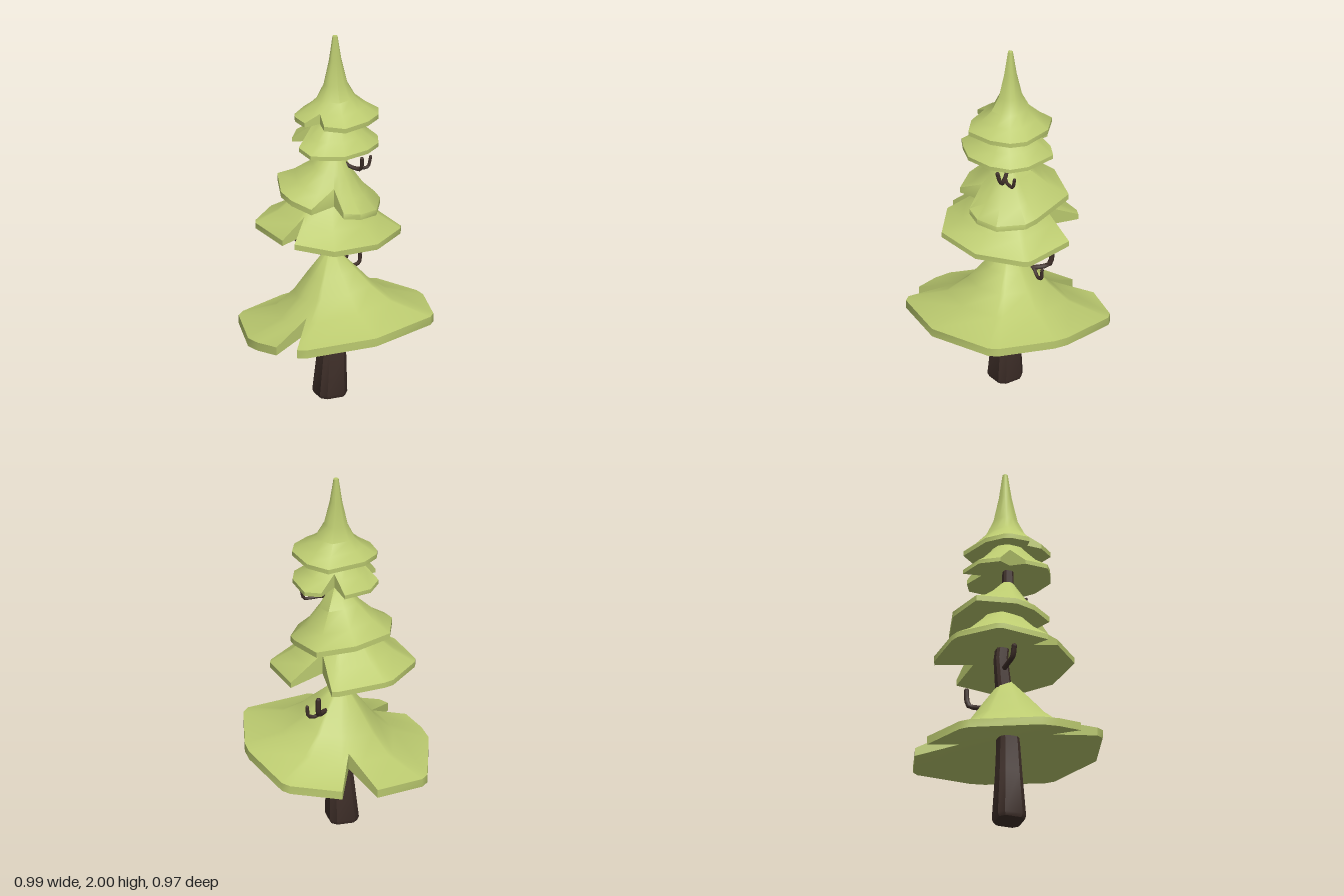
import * as THREE from 'three';
import { toCreasedNormals } from 'three/addons/utils/BufferGeometryUtils.js';

const foliage = new THREE.MeshStandardMaterial({ color: 0xbccb70 });
foliage.name = 'leaf green';
const bark = new THREE.MeshStandardMaterial({ color: 0x40302a });
bark.name = 'dark bark';

// Height fraction of a skirt profile at radius fraction f
function heightAt(profile, f) {
  for (let i = 1; i < profile.length; i++) {
    const [f0, h0] = profile[i - 1], [f1, h1] = profile[i];
    if (f <= f1) return h0 + (h1 - h0) * (f - f0) / (f1 - f0);
  }
  return 0;
}

// Solid skirt of needles with a shallow hollow below. Rim points run clockwise
// from above as [x, z]; a third number k marks the inner corner of a notch,
// at fraction k of the radius.
function skirt(name, { apex, rim, rimY, thick, hollow, profile }) {
  const [ax, ay, az] = apex;
  const underY = rimY(ax, az) - thick + hollow;
  const columns = rim.map(([x, z, k = 1]) => {
    const dx = (x - ax) / k, dz = (z - az) / k;
    const edgeY = rimY(ax + dx, az + dz);
    return profile.map(([ring]) => {
      const f = Math.min(ring, k);
      const px = ax + dx * f, pz = az + dz * f;
      return {
        top: new THREE.Vector3(px, edgeY + (ay - edgeY) * heightAt(profile, f), pz),
        low: new THREE.Vector3(px, underY + (edgeY - thick - underY) * f, pz),
      };
    });
  });
  const pos = [];
  const tri = (...pts) => pts.forEach(p => pos.push(p.x, p.y, p.z));
  const both = (a, b, c) => { tri(a.top, b.top, c.top); tri(a.low, c.low, b.low); };
  const last = profile.length - 1;
  columns.forEach((a, i) => {
    const b = columns[(i + 1) % columns.length];
    for (let j = 0; j < last; j++) {
      both(a[j], b[j + 1], a[j + 1]);
      if (j > 0) both(a[j], b[j], b[j + 1]);
    }
    tri(a[last].top, b[last].top, b[last].low);
    tri(a[last].top, b[last].low, a[last].low);
  });
  const geo = new THREE.BufferGeometry();
  geo.setAttribute('position', new THREE.Float32BufferAttribute(pos, 3));
  const mesh = new THREE.Mesh(toCreasedNormals(geo, 0.8), foliage);
  mesh.name = name;
  return mesh;
}

// Square trunk with cut corners, bent through stations [x, y, z, half width]
function trunk(stations) {
  const n = stations.length - 1;
  const geo = new THREE.CylinderGeometry(1, 1, 1, 8, n, false, Math.PI / 8);
  const p = geo.attributes.position;
  const squared = v => (Math.abs(v) < 0.01 ? 0 : Math.sign(v) * (Math.abs(v) > 0.6 ? 1 : 0.62));
  for (let i = 0; i < p.count; i++) {
    const [x, y, z, r] = stations[Math.round((p.getY(i) + 0.5) * n)];
    p.setXYZ(i, x + squared(p.getX(i)) * r, y, z + squared(p.getZ(i)) * r);
  }
  const mesh = new THREE.Mesh(toCreasedNormals(geo, 0.6), bark);
  mesh.name = 'trunk';
  return mesh;
}

// Bare twig along a curve, with a closed tip
function twig(points, radius) {
  const group = new THREE.Group();
  const path = new THREE.CatmullRomCurve3(points.map(p => new THREE.Vector3(...p)), false, 'catmullrom', 0.3);
  group.add(new THREE.Mesh(new THREE.TubeGeometry(path, 10, radius, 6), bark));
  const tip = new THREE.Mesh(new THREE.SphereGeometry(radius, 6, 4), bark);
  tip.position.copy(path.getPoint(1));
  tip.name = 'twigTip';
  group.add(tip);
  group.name = 'twig';
  return group;
}

export function createModel() {
  const tree = new THREE.Group();
  tree.name = 'pineTree';

  tree.add(trunk([
    [-0.022, 0, -0.015, 0.07], [-0.022, 0.02, -0.015, 0.078], [-0.01, 0.28, -0.013, 0.062],
    [0, 0.45, -0.012, 0.054], [-0.015, 0.78, -0.045, 0.037], [-0.022, 0.92, -0.06, 0.033],
    [0.01, 1.3, -0.01, 0.027], [0.012, 1.5, -0.01, 0.024],
  ]));

  const broad = [[0, 1], [0.06, 0.97], [0.25, 0.67], [0.4, 0.42], [0.6, 0.18], [1, 0]];
  const plain = [[0, 1], [0.12, 0.95], [0.4, 0.56], [0.7, 0.22], [1, 0]];
  const spire = [[0, 1], [0.06, 0.995], [0.15, 0.68], [0.28, 0.38], [0.45, 0.21], [0.7, 0.1], [1, 0]];

  tree.add(skirt('lowestBoughs', {
    apex: [-0.01, 0.81, -0.03], thick: 0.045, hollow: 0.1, profile: broad,
    rimY: (x, z) => 0.44 + 0.09 * x + 0.09 * z,
    rim: [[0.11, -0.485], [0.37, -0.405], [0.405, -0.37], [0.49, -0.05], [0.49, 0.03], [0.41, 0.335],
      [0.375, 0.375], [0.02, 0.48], [-0.34, 0.39], [-0.375, 0.35], [-0.23, 0.15, 0.56],
      [-0.44, 0.235], [-0.485, 0.1], [-0.495, 0], [-0.385, -0.36], [-0.345, -0.4],
      [-0.08, -0.485], [0.015, -0.27, 0.53]],
  }));
  tree.add(skirt('lowerMiddleBoughs', {
    apex: [-0.01, 1.25, -0.04], thick: 0.03, hollow: 0.08, profile: plain,
    rimY: (x, z) => 0.935 - 0.05 * x - 0.03 * z,
    rim: [[0.1, -0.385], [0.135, -0.37], [0.125, -0.16, 0.55], [0.305, -0.19], [0.34, 0.08], [0.325, 0.11],
      [0.12, 0.275], [-0.14, 0.305], [-0.3, 0.155], [-0.2, 0.06, 0.6], [-0.34, 0.09],
      [-0.375, -0.17], [-0.36, -0.205], [-0.2, -0.36], [-0.15, -0.375]],
  }));
  tree.add(skirt('upperMiddleBoughs', {
    apex: [0.005, 1.38, -0.01], thick: 0.03, hollow: 0.06, profile: plain,
    rimY: (x, z) => 1.113 - 0.13 * x - 0.14 * z,
    rim: [[-0.01, -0.32], [0.19, -0.27], [0.24, -0.03], [0.24, 0.04], [0.16, 0.17], [0.05, 0.215],
      [-0.04, 0.2], [-0.055, 0.11, 0.58], [-0.2, 0.145], [-0.265, 0.04], [-0.28, -0.06],
      [-0.21, -0.26]],
  }));
  tree.add(skirt('upperBoughs', {
    apex: [0.01, 1.64, -0.01], thick: 0.022, hollow: 0.05, profile: plain,
    rimY: (x, z) => 1.42 - 0.03 * z,
    rim: [[0.14, -0.19], [0.22, -0.15], [0.235, 0.02], [0.2, 0.11], [0.11, 0.175], [-0.035, 0.21],
      [-0.14, 0.17], [-0.2, 0.135], [-0.21, 0.01], [-0.11, -0.04, 0.52], [-0.19, -0.12],
      [-0.12, -0.215], [0.03, -0.25], [0.055, -0.14, 0.58]],
  }));
  tree.add(skirt('crown', {
    apex: [0.012, 2, -0.025], thick: 0.025, hollow: 0.035, profile: spire,
    rimY: (x) => 1.57 + 0.03 * x,
    rim: [[0.11, -0.22], [0.2, -0.13], [0.235, 0.03], [0.2, 0.11], [0.11, 0.175], [-0.035, 0.21],
      [-0.12, 0.13], [-0.11, 0.055, 0.7], [-0.19, 0.04], [-0.2, -0.06], [-0.185, -0.1], [-0.1, -0.17]],
  }));

  // Bare branches between the boughs
  const branches = [
    [[[-0.02, 0.86, -0.05], [-0.12, 0.865, -0.05], [-0.185, 0.87, -0.05], [-0.205, 0.92, -0.05]], 0.015],
    [[[0, 0.68, -0.04], [0.1, 0.69, -0.11], [0.145, 0.705, -0.17], [0.155, 0.74, -0.185], [0.155, 0.8, -0.187]], 0.014],
    [[[0.1, 0.69, -0.11], [0.15, 0.66, -0.1], [0.185, 0.67, -0.1], [0.19, 0.72, -0.1]], 0.01],
    [[[0.03, 1.31, 0], [0.07, 1.28, 0.05], [0.1, 1.275, 0.09], [0.105, 1.3, 0.11], [0.1, 1.345, 0.12]], 0.011],
    [[[0.07, 1.28, 0.05], [0.11, 1.27, 0.065], [0.16, 1.272, 0.065], [0.175, 1.325, 0.065]], 0.009],
  ];
  for (const [points, radius] of branches) tree.add(twig(points, radius));
  return tree;
}
